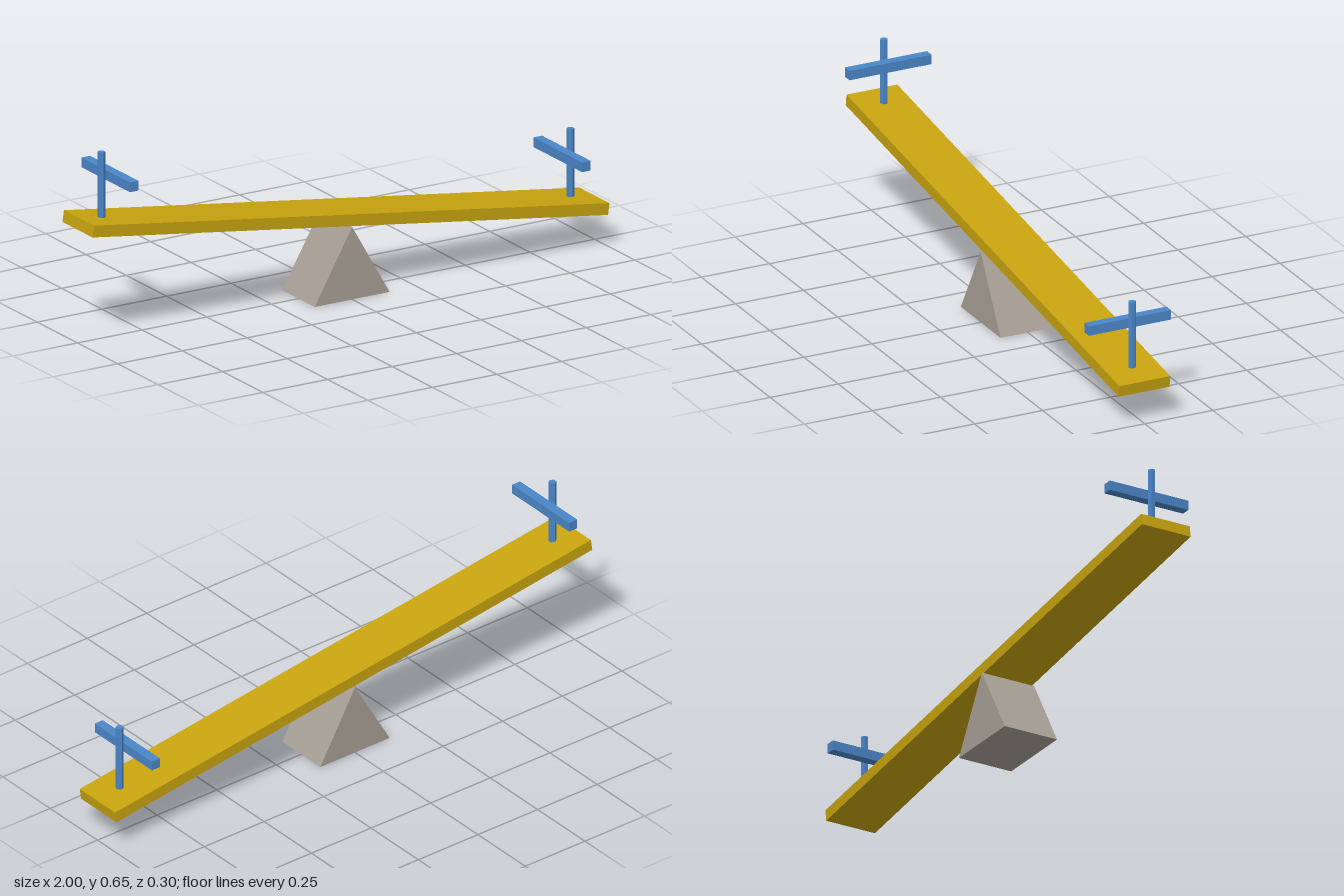
import * as THREE from 'three';

export function createModel() {
  const material = (name, color) => {
    const m = new THREE.MeshStandardMaterial({ color });
    m.name = name;
    return m;
  };
  const gold = material('goldPaint', 0xc8a40f);
  const blue = material('bluePaint', 0x4a86c8);
  const stone = material('warmGrey', 0xa8a096);

  const model = new THREE.Group();
  model.name = 'seesaw';
  const add = (parent, name, geometry, mat, x, y, z) => {
    geometry.computeVertexNormals();
    const mesh = new THREE.Mesh(geometry, mat);
    mesh.name = name;
    mesh.position.set(x, y, z);
    parent.add(mesh);
    return mesh;
  };

  // Triangular prism the plank rests on
  const triangle = new THREE.Shape([
    new THREE.Vector2(-0.1452, 0),
    new THREE.Vector2(0.1452, 0),
    new THREE.Vector2(0, 0.2515),
  ]);
  const prism = new THREE.ExtrudeGeometry(triangle, { depth: 0.201, bevelEnabled: false });
  add(model, 'fulcrum', prism, stone, 0, 0, -0.1005);

  // Plank tilted down towards +x
  const tilt = THREE.MathUtils.degToRad(8);
  const plank = add(model, 'plank', new THREE.BoxGeometry(2.014, 0.0403, 0.187), gold, 0, 0.2725, 0);
  plank.rotation.z = -tilt;

  // Upright post and crossbar at each end, kept vertical
  for (const side of [-1, 1]) {
    const handle = new THREE.Group();
    handle.name = side > 0 ? 'leftHandle' : 'rightHandle';
    handle.position.set(0, 0.407 - side * 0.1225, 0);
    const post = new THREE.CylinderGeometry(0.0134, 0.0134, 0.235, 6).toNonIndexed();
    add(handle, 'post', post, blue, side * 0.907, 0, 0);
    add(handle, 'crossbar', new THREE.BoxGeometry(0.0336, 0.0336, 0.302), blue, side * 0.8745, 0.034, 0);
    model.add(handle);
  }

  return model;
}
